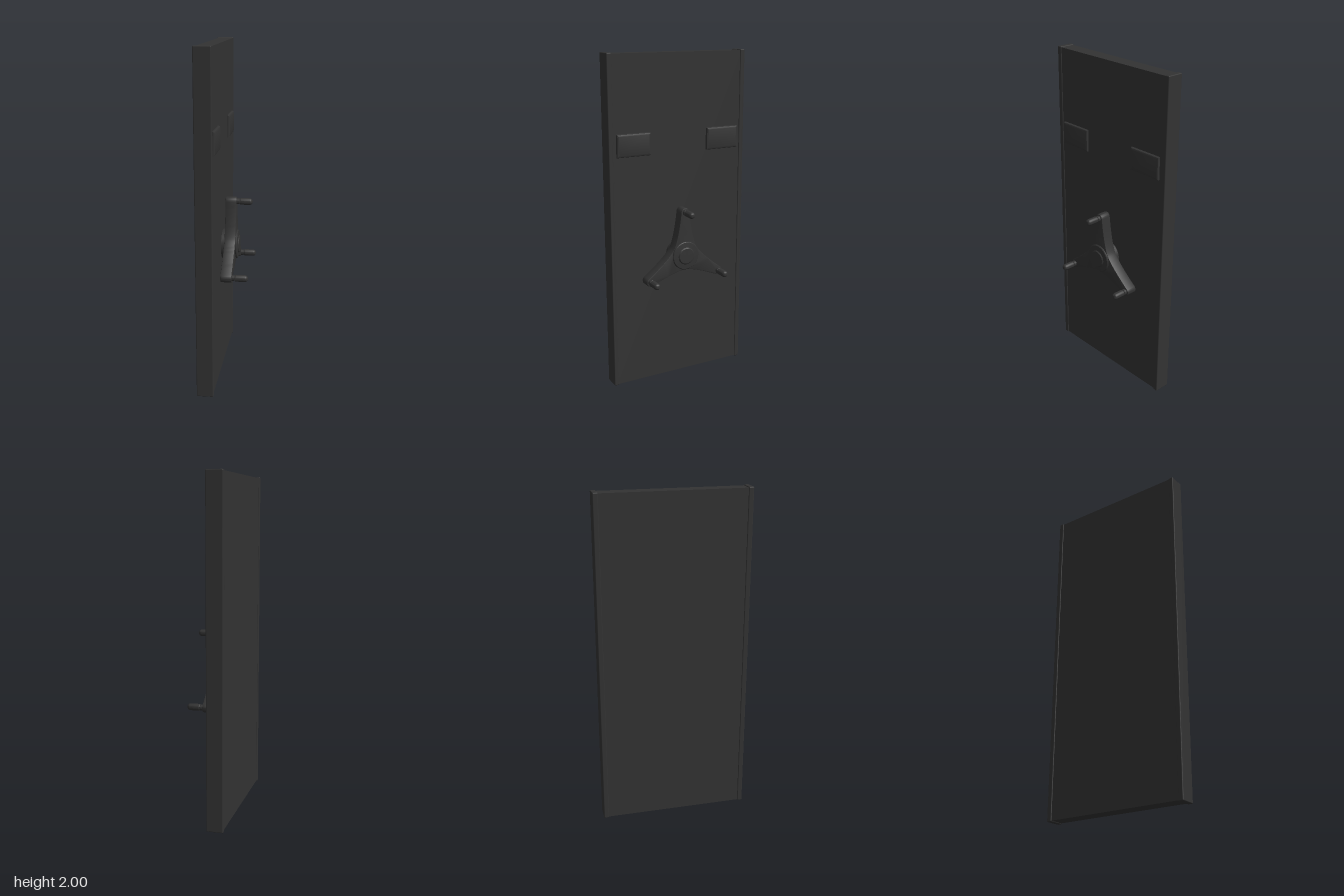
import * as THREE from 'three';
import { toCreasedNormals } from 'three/addons/utils/BufferGeometryUtils.js';
import { RoundedBoxGeometry } from 'three/addons/geometries/RoundedBoxGeometry.js';

const material = new THREE.MeshStandardMaterial({ color: 0x333333 });
const HUB_Y = 0.797;
const ARM = 0.268; // hub centre to handle centre

function part(name, geometry, x = 0, y = 0, z = 0) {
  const mesh = new THREE.Mesh(geometry, material);
  mesh.name = name;
  mesh.position.set(x, y, z);
  return mesh;
}

// Revolves [radius, depth] points about the local z axis
function turned(points, sides) {
  const geometry = new THREE.LatheGeometry(points.map(([r, d]) => new THREE.Vector2(r, d)), sides);
  return toCreasedNormals(geometry.rotateX(Math.PI / 2), 0.5);
}

// Extrudes a shape between two depths, bevel included and kept inside the outline
function plate(shape, z0, z1, bevel, segments) {
  const geometry = new THREE.ExtrudeGeometry(shape, {
    depth: z1 - z0 - 2 * bevel, bevelThickness: bevel, bevelSize: bevel,
    bevelOffset: -bevel, bevelSegments: segments, curveSegments: 14,
  });
  return toCreasedNormals(geometry.translate(0, 0, z0 + bevel), 0.5);
}

// Three-armed outline with waisted arms and round tips
function spiderShape() {
  const outline = [];
  const v = (x, y) => new THREE.Vector2(x, y);
  const tipRadius = 0.027;
  const side = new THREE.QuadraticBezierCurve(v(0.078, 0.045), v(0.048, 0.1), v(tipRadius, ARM)).getPoints(14);
  const tip = [];
  for (let i = 1; i < 10; i++) {
    const a = (i / 10) * Math.PI;
    tip.push(v(tipRadius * Math.cos(a), ARM + tipRadius * Math.sin(a)));
  }
  const mirrored = side.map((p) => v(-p.x, p.y)).reverse();
  const arm = [...side, ...tip, ...mirrored.slice(0, -1)];
  for (let k = 0; k < 3; k++) {
    const a = (k * 2 * Math.PI) / 3;
    arm.forEach((p) => outline.push(p.clone().rotateAround(v(0, 0), a)));
  }
  return new THREE.Shape(outline);
}

function createHandwheel() {
  const wheel = new THREE.Group();
  wheel.name = 'handwheel';
  wheel.add(part('spider', plate(spiderShape(), -0.025, 0.041, 0.005, 2)));
  // Shaft collar between the panel and the spider
  wheel.add(part('collar', turned([[0, -0.046], [0.088, -0.046], [0.088, -0.02], [0, -0.02]], 40)));
  // Stepped hub cap
  wheel.add(part('hubCap', turned([
    [0, 0.036], [0.087, 0.036], [0.087, 0.046], [0.083, 0.05],
    [0.053, 0.053], [0.051, 0.056], [0.047, 0.059], [0, 0.059],
  ], 40)));

  // Handle pins at the arm tips: neck, then a round-ended grip
  const profile = [[0, 0.036], [0.018, 0.036], [0.018, 0.056], [0.015, 0.058],
    [0.015, 0.06], [0.018, 0.06], [0.02, 0.063]];
  for (let i = 0; i <= 8; i++) {
    const a = (i / 8) * Math.PI / 2;
    profile.push([0.02 * Math.cos(a), 0.116 + 0.02 * Math.sin(a)]);
  }
  const pin = turned(profile, 20);
  for (let k = 0; k < 3; k++) {
    const a = (k * 2 * Math.PI) / 3;
    wheel.add(part('handlePin', pin, -ARM * Math.sin(a), ARM * Math.cos(a), 0));
  }
  // Local z becomes the outward +x direction
  wheel.rotation.y = Math.PI / 2;
  wheel.position.y = HUB_Y;
  return wheel;
}

export function createModel() {
  const model = new THREE.Group();
  model.name = 'vaultDoor';

  // Door leaf
  model.add(part('doorPanel', new THREE.BoxGeometry(0.088, 1.99, 0.86), -0.088, 1, 0));

  // Raised plate outline shared by both sides
  const w = 0.108, h = 0.0675;
  const rect = new THREE.Shape([[-w, -h], [w, -h], [w, h], [-w, h]].map(([x, y]) => new THREE.Vector2(x, y)));
  const pad = plate(rect, -0.056, -0.029, 0.012, 2);

  for (const s of [-1, 1]) {
    // Edge strips along both vertical sides
    const strip = new RoundedBoxGeometry(0.098, 2, 0.03, 2, 0.005);
    model.add(part('edgeStrip', strip, -0.088, 1, s * 0.433));
    const plateMesh = part('raisedPlate', pad, 0, 1.482, s * 0.293);
    plateMesh.rotation.y = Math.PI / 2;
    model.add(plateMesh);
  }

  model.add(createHandwheel());
  return model;
}
